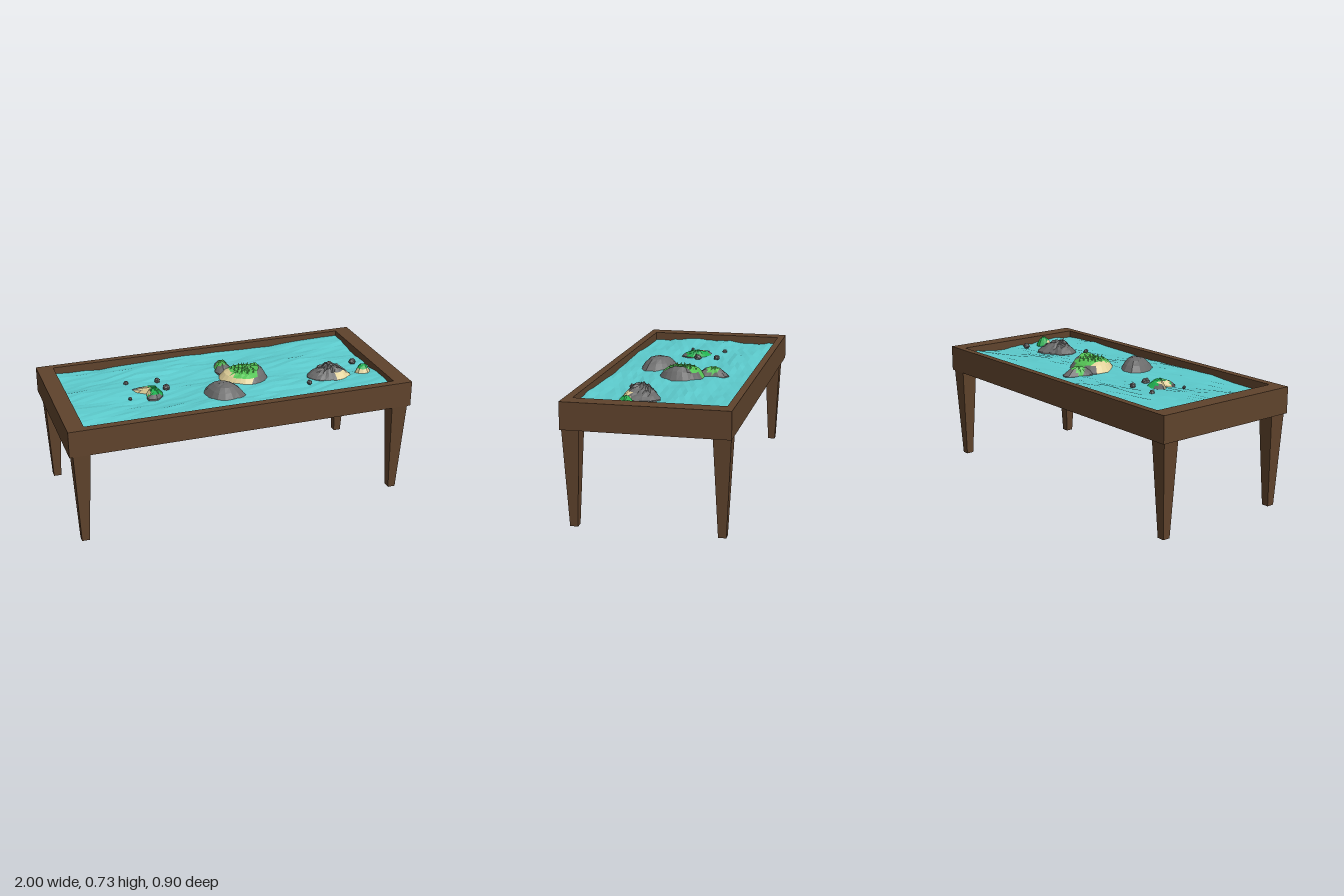
import * as THREE from 'three';

const mat = (color, side = THREE.FrontSide) => new THREE.MeshStandardMaterial({ color, flatShading: true, side });
const wood = mat(0x5f432c);
const water = mat(0x5ccbcd, THREE.DoubleSide);
const grounds = {
  rock: mat(0x696969), grass: mat(0x55c455), lush: mat(0x1fb050), sand: mat(0xe2d19a),
};
const LEVEL = 0.65;

// repeatable value in -1..1
function noise(a, b) {
  const s = Math.sin(a * 127.1 + b * 311.7) * 43758.5453;
  return 2 * (s - Math.floor(s)) - 1;
}

function add(parent, name, geometry, material, x = 0, y = 0, z = 0) {
  const mesh = new THREE.Mesh(geometry, material);
  mesh.name = name;
  mesh.position.set(x, y, z);
  parent.add(mesh);
  return mesh;
}

// Faceted mound: radii run around the centre from +x towards +z,
// height(t, x, z) gives the rise at t = 0 (centre) .. 1 (shore),
// ground(x, z, t) picks the material of each facet.
function mound({ name, x, z, radii, height, rough, ground, sides = 18, rings = 4 }) {
  const group = new THREE.Group();
  group.name = name;
  const point = (ring, side) => {
    const s = side % sides, f = (s / sides) * radii.length, i = Math.floor(f);
    const r = THREE.MathUtils.lerp(radii[i], radii[(i + 1) % radii.length], f - i);
    if (ring > rings) ring = rings + 0.25; // skirt below the water
    const t = ring / rings, a = (s / sides) * Math.PI * 2;
    const px = x + Math.cos(a) * r * t, pz = z + Math.sin(a) * r * t;
    if (t > 1) return new THREE.Vector3(px, 0.6, pz);
    const bump = ring === 0 ? 0 : rough * noise(ring + x * 10, s) * (1 - t * t);
    return new THREE.Vector3(px, LEVEL + height(t, px, pz) + bump, pz);
  };
  const facets = {};
  const face = (a, b, c, t) => {
    const kind = ground((a.x + b.x + c.x) / 3, (a.z + b.z + c.z) / 3, t);
    (facets[kind] ??= []).push(a, b, c);
  };
  for (let ring = 0; ring <= rings; ring++) {
    for (let s = 0; s < sides; s++) {
      const a = point(ring, s), b = point(ring, s + 1);
      const c = point(ring + 1, s), d = point(ring + 1, s + 1);
      const t = (ring + 0.5) / rings;
      face(a, d, c, t);
      if (ring > 0) face(a, b, d, t);
    }
  }
  for (const [kind, points] of Object.entries(facets)) {
    const geometry = new THREE.BufferGeometry().setFromPoints(points);
    geometry.computeVertexNormals();
    add(group, `${name} ${kind}`, geometry, grounds[kind]);
  }
  return group;
}

function tableFrame() {
  const group = new THREE.Group();
  group.name = 'table';
  const rect = (path, x, z0, z1) =>
    path.moveTo(-x, z0).lineTo(x, z0).lineTo(x, z1).lineTo(-x, z1).closePath();
  const outline = rect(new THREE.Shape(), 1, -0.45, 0.45);
  outline.holes.push(rect(new THREE.Path(), 0.905, -0.405, 0.41));
  const rim = new THREE.ExtrudeGeometry(outline, { depth: 0.15, bevelEnabled: false });
  rim.rotateX(-Math.PI / 2);
  add(group, 'rim', rim, wood, 0, 0.54);
  add(group, 'tableBottom', new THREE.BoxGeometry(1.82, 0.02, 0.83), wood, 0, 0.55, 0);

  // square tapered legs
  const leg = new THREE.CylinderGeometry(0.0475 * Math.SQRT2, 0.0218 * Math.SQRT2, 0.54, 4);
  leg.rotateY(Math.PI / 4);
  for (const [name, x, z] of [
    ['frontLeftLeg', 0.933, 0.399], ['frontRightLeg', -0.933, 0.399],
    ['backLeftLeg', 0.933, -0.398], ['backRightLeg', -0.933, -0.381],
  ]) add(group, name, leg, wood, x, 0.27, z);
  return group;
}

// rippled low-poly water
function waterSurface() {
  const geometry = new THREE.PlaneGeometry(1.81, 0.815, 20, 26);
  geometry.rotateX(-Math.PI / 2);
  const p = geometry.attributes.position;
  for (let i = 0; i < p.count; i++) {
    const x = p.getX(i), z = p.getZ(i);
    p.setY(i, 0.007 * Math.sin(x * 6 + z * 9) + 0.004 * Math.sin(z * 23 - x * 4) + 0.004 * noise(x, z));
  }
  geometry.computeVertexNormals();
  const mesh = new THREE.Mesh(geometry, water);
  mesh.name = 'water';
  mesh.position.set(0, LEVEL, -0.0025);
  return mesh;
}

export function createModel() {
  const model = new THREE.Group();
  model.name = 'islandTable';
  model.add(tableFrame(), waterSurface());

  const dome = (h, p) => (t) => h * (1 - t ** p);
  const near = (x, z, cx, cz, rx, rz) => ((x - cx) / rx) ** 2 + ((z - cz) / rz) ** 2 < 1;

  // main island: grassy plateau with a rocky crest on its left side
  const mainHeight = (t, x, z) => 0.06 * (1 - t ** 4)
    + 0.028 * Math.exp(-(((x - 0.23) / 0.035) ** 2) - ((z / 0.06) ** 2)) * (1 - t ** 6);
  model.add(mound({
    name: 'mainIsland', x: 0.14, z: 0, sides: 24, rings: 5, rough: 0.006, height: mainHeight,
    radii: [0.135, 0.14, 0.13, 0.125, 0.12, 0.125, 0.14, 0.15, 0.14, 0.13, 0.14, 0.14],
    ground: (x, z) => near(x, z, 0.135, -0.01, 0.085, 0.115) ? 'grass'
      : x < 0.075 && z > -0.07 || x < 0.15 && z > 0.08 ? 'sand' : 'rock',
  }));

  // small shrubs scattered over the plateau
  const shrub = new THREE.ConeGeometry(0.005, 0.014, 5);
  for (let i = 0; i < 26; i++) {
    const a = i * 2.4, r = Math.sqrt((i + 0.5) / 26);
    const x = 0.14 + 0.07 * r * Math.cos(a), z = -0.01 + 0.085 * r * Math.sin(a);
    const t = Math.hypot(x - 0.14, z) / 0.13;
    add(model, 'shrub', shrub, grounds.grass, x, LEVEL + mainHeight(t, x, z) + 0.006, z);
  }

  // spur running back from the main island
  model.add(mound({
    name: 'spur', x: 0.06, z: -0.17, rough: 0.007, height: dome(0.045, 2),
    radii: [0.05, 0.055, 0.1, 0.1, 0.08, 0.06, 0.04, 0.045, 0.06, 0.1, 0.09, 0.055],
    ground: (x, z) => near(x, z, 0.06, -0.175, 0.045, 0.04) ? 'grass' : 'rock',
  }));

  // bare boulder
  model.add(mound({
    name: 'boulder', x: -0.045, z: 0.175, sides: 14, rough: 0.004, height: dome(0.073, 2.4),
    radii: [0.11, 0.13, 0.11, 0.105, 0.11, 0.1, 0.1, 0.12, 0.13, 0.105, 0.09, 0.09],
    ground: () => 'rock',
  }));

  // crescent island
  model.add(mound({
    name: 'crescentIsland', x: -0.42, z: 0.03, sides: 24, rough: 0.006, height: dome(0.035, 2),
    radii: [0.05, 0.055, 0.07, 0.09, 0.09, 0.05, 0.04, 0.14, 0.1, 0.08, 0.07, 0.05],
    ground: (x, z, t) => x < -0.44 && z > -0.01 && z < 0.075 ? 'sand'
      : x < -0.47 || z > 0.09 || t > 0.9 && x > -0.4 ? 'rock' : 'lush',
  }));

  // craggy island with a small beach
  model.add(mound({
    name: 'craggyIsland', x: 0.62, z: 0.11, sides: 24, rings: 6, rough: 0.013, height: dome(0.066, 1.7),
    radii: [0.13, 0.14, 0.11, 0.09, 0.09, 0.11, 0.125, 0.11, 0.08, 0.09, 0.14, 0.14],
    ground: (x, z, t) => x > 0.64 && z > 0.15 && t > 0.65 ? 'sand' : 'rock',
  }));

  // green islet
  model.add(mound({
    name: 'islet', x: 0.835, z: 0.14, sides: 10, rings: 3, rough: 0.006, height: dome(0.05, 2),
    radii: [0.05, 0.045, 0.05, 0.05, 0.05, 0.055, 0.05, 0.04, 0.045, 0.05, 0.045, 0.045],
    ground: (x, z, t) => t > 0.7 && z > 0.14 ? 'sand' : 'lush',
  }));

  // stones standing in the water
  const stone = new THREE.IcosahedronGeometry(1, 0);
  for (const [x, z, r] of [
    [-0.54, -0.127, 0.016], [-0.357, -0.11, 0.018], [-0.335, 0.003, 0.023],
    [-0.568, 0.083, 0.011], [0.47, 0.202, 0.016], [0.832, 0.002, 0.021],
  ]) {
    const mesh = add(model, 'stone', stone, grounds.rock, x, LEVEL + 0.008, z);
    mesh.scale.set(r, r * 1.1, r);
    mesh.rotation.set(x * 5, z * 20, x);
  }
  return model;
}
